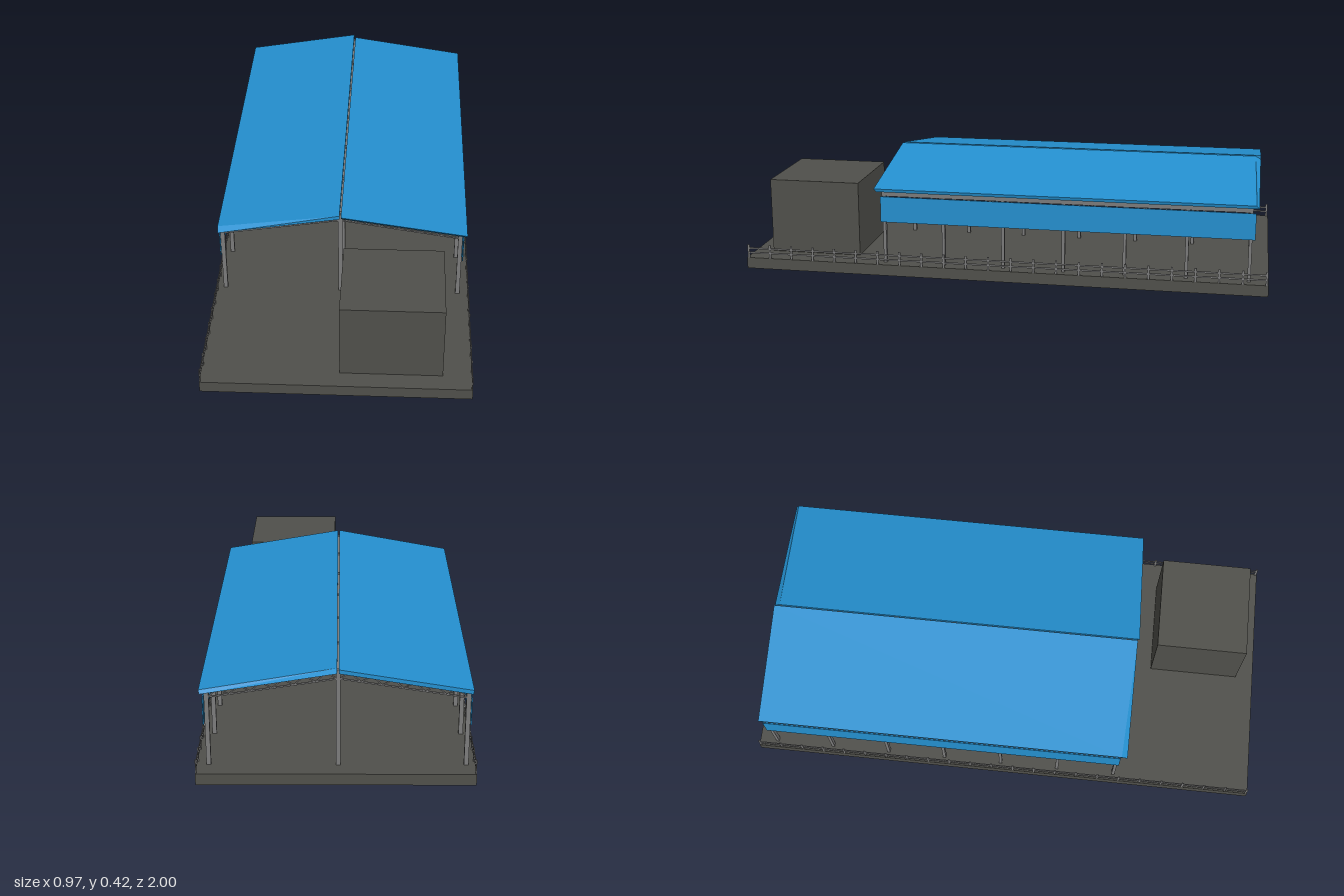
import * as THREE from 'three';

const mat = (name, color) => {
  const m = new THREE.MeshStandardMaterial({ color });
  m.name = name;
  return m;
};

export function createModel() {
  const root = new THREE.Group();
  root.name = 'openShed';
  const concrete = mat('concrete grey', 0x50504b);
  const steel = mat('steel grey', 0x7c7c7c);
  const blue = mat('sheet blue', 0x2490d0);

  const group = (name) => {
    const g = new THREE.Group();
    g.name = name;
    root.add(g);
    return g;
  };

  // Box given by its minimum and maximum corners
  const box = (parent, name, material, x0, x1, y0, y1, z0, z1) => {
    const m = new THREE.Mesh(new THREE.BoxGeometry(x1 - x0, y1 - y0, z1 - z0), material);
    m.position.set((x0 + x1) / 2, (y0 + y1) / 2, (z0 + z1) / 2);
    m.name = name;
    parent.add(m);
  };

  // Square bar between two points in an x-y plane
  const bar = (parent, name, a, b, z, size) => {
    const dx = b[0] - a[0], dy = b[1] - a[1];
    const m = new THREE.Mesh(new THREE.BoxGeometry(Math.hypot(dx, dy), size, size), steel);
    m.position.set((a[0] + b[0]) / 2, (a[1] + b[1]) / 2, z);
    m.rotation.z = Math.atan2(dy, dx);
    m.name = name;
    parent.add(m);
  };

  const floorY = 0.043;
  box(root, 'floorSlab', concrete, -0.485, 0.485, 0, floorY, -1, 1);
  box(root, 'storageBlock', concrete, 0.01, 0.38, floorY, 0.333, 0.575, 0.93);

  // Posts and lengthwise beams in three rows
  const frames = Array.from({ length: 7 }, (_, i) => 0.452 - i * 0.23);
  const posts = group('posts');
  const beams = group('beams');
  for (const [x, top, beamTop] of [[-0.453, 0.332, 0.326], [-0.008, 0.407, 0.402], [0.443, 0.334, 0.326]]) {
    for (const z of frames) box(posts, 'post', steel, x - 0.008, x + 0.008, floorY, top, z - 0.006, z + 0.006);
    box(beams, 'beam', steel, x - 0.008, x + 0.008, beamTop - 0.02, beamTop, -0.93, 0.46);
  }

  // Trusses with zigzag webs on each frame
  const trusses = group('trusses');
  const bays = 6;
  for (const z of frames) {
    for (const [eave, ridge] of [[-0.45, -0.012], [0.44, -0.004]]) {
      const at = (t, low) => [
        eave + (ridge - eave) * t,
        low ? 0.302 + 0.07 * t : 0.327 + 0.073 * t,
      ];
      bar(trusses, 'bottomChord', at(0, true), at(1, true), z, 0.005);
      bar(trusses, 'topChord', at(0, false), at(1, false), z, 0.005);
      for (let i = 0; i < bays * 2; i++) {
        bar(trusses, 'webBar', at(i / (bays * 2), i % 2 === 0), at((i + 1) / (bays * 2), i % 2 === 1), z, 0.004);
      }
    }
  }

  // Roof sheet: box whose corners are moved to the slope and slanted ends
  const roof = (name, corner) => {
    const geo = new THREE.BoxGeometry(1, 1, 1).toNonIndexed();
    const p = geo.attributes.position;
    for (let i = 0; i < p.count; i++) {
      p.setXYZ(i, ...corner(p.getX(i) > 0, p.getY(i) > 0, p.getZ(i) > 0));
    }
    geo.computeVertexNormals();
    const m = new THREE.Mesh(geo, blue);
    m.name = name;
    root.add(m);
  };
  roof('roofRight', (inner, top, front) => [
    inner ? -0.01 : top ? -0.469 : -0.466,
    (inner ? 0.402 : 0.326) + (top ? 0.015 : 0),
    front ? (top && !inner ? 0.467 : 0.49) : -0.955,
  ]);
  roof('roofLeft', (outer, top, front) => [
    outer ? (top ? 0.468 : 0.465) : -0.004,
    (outer ? 0.325 : 0.402) + (top ? 0.012 : 0),
    front ? (outer ? 0.487 : 0.497) - (top ? 0 : 0.01) : top ? (outer ? -0.945 : -0.935) : -0.955,
  ]);

  // Side cladding below the eaves
  box(root, 'claddingLeft', blue, 0.453, 0.457, 0.205, 0.305, -0.945, 0.465);
  box(root, 'claddingRight', blue, -0.465, -0.461, 0.205, 0.305, -0.945, 0.465);

  // Fences along both sides
  const fences = group('fences');
  for (const x of [-0.482, 0.482]) {
    for (let i = 0; i < 24; i++) {
      const z = 0.993 - i * (1.986 / 23);
      box(fences, 'fencePost', steel, x - 0.002, x + 0.002, floorY, 0.095, z - 0.004, z + 0.004);
    }
    for (const y of [0.063, 0.081]) {
      box(fences, 'fenceRail', steel, x - 0.0015, x + 0.0015, y - 0.003, y + 0.003, -0.997, 0.997);
    }
  }
  return root;
}
